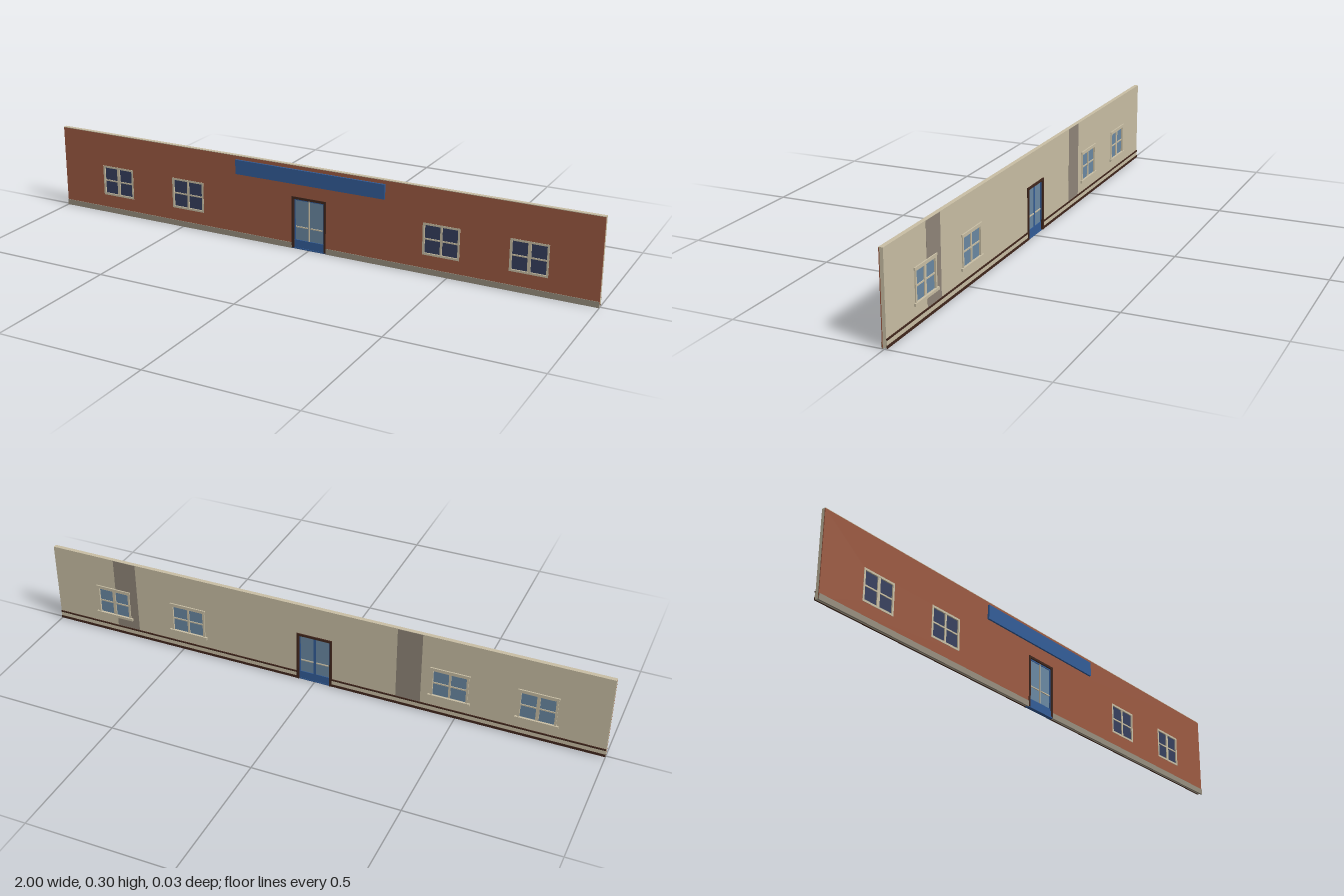
import * as THREE from 'three';

const mat = (name, color) => {
  const m = new THREE.MeshStandardMaterial({ color });
  m.name = name;
  return m;
};

export function createModel() {
  const brick = mat('brick', 0x9c5a42);
  const cream = mat('cream plaster', 0xc8bea4);
  const stone = mat('plinth stone', 0x978e7e);
  const shade = mat('grey band', 0x8f8578);
  const brown = mat('dark brown', 0x40261c);
  const blue = mat('blue paint', 0x325c98);
  const darkGlass = mat('dark glass', 0x363f5e);
  const glass = mat('pale glass', 0x6a88a2);

  const model = new THREE.Group();
  model.name = 'wallSection';

  // Box given by its limits on each axis
  const box = (parent, name, material, x0, x1, y0, y1, z0, z1) => {
    const mesh = new THREE.Mesh(new THREE.BoxGeometry(x1 - x0, y1 - y0, z1 - z0), material);
    mesh.position.set((x0 + x1) / 2, (y0 + y1) / 2, (z0 + z1) / 2);
    mesh.name = name;
    parent.add(mesh);
    return mesh;
  };

  const windowXs = [-0.77, -0.476, 0.476, 0.77];
  const W = 0.064, Y0 = 0.066, Y1 = 0.176; // window half width, bottom, top
  const D = 0.064, doorTop = 0.186;        // door half width, top

  // Wall leaf with a door notch and window holes
  const wallLeaf = (name, material, bottom, top, z0, z1) => {
    const s = new THREE.Shape();
    s.moveTo(-1, bottom).lineTo(-D, bottom).lineTo(-D, doorTop).lineTo(D, doorTop);
    s.lineTo(D, bottom).lineTo(1, bottom).lineTo(1, top).lineTo(-1, top).closePath();
    for (const x of windowXs) {
      const h = new THREE.Path();
      h.moveTo(x - W, Y0).lineTo(x - W, Y1).lineTo(x + W, Y1).lineTo(x + W, Y0).closePath();
      s.holes.push(h);
    }
    const g = new THREE.ExtrudeGeometry(s, { depth: z1 - z0, bevelEnabled: false });
    g.translate(0, 0, z0);
    const mesh = new THREE.Mesh(g, material);
    mesh.name = name;
    model.add(mesh);
  };
  wallLeaf('brickFace', brick, 0.004, 0.295, 0.0045, 0.0075);
  wallLeaf('innerWall', cream, 0.004, 0.295, -0.007, 0.0045);
  box(model, 'wallCap', cream, -1, 1, 0.295, 0.297, -0.007, 0.0075);

  // Plinth in front and skirting behind, either side of the door
  for (const [a, b] of [[-1, -D], [D, 1]]) {
    box(model, 'plinth', stone, a, b, 0, 0.02, 0.004, 0.0095);
    box(model, 'skirtingBase', brown, a, b, 0.003, 0.012, -0.0105, -0.006);
    box(model, 'skirtingBoard', cream, a, b, 0.012, 0.027, -0.009, -0.006);
    box(model, 'skirtingCap', brown, a, b, 0.027, 0.032, -0.0105, -0.006);
  }

  // Grey vertical bands on the back
  for (const x of [0.718, -0.335]) {
    const y0 = 0.032, y1 = 0.296, z0 = -0.0075, z1 = -0.0068;
    const a = x - 0.043, b = x + 0.043;
    if (x < 0) box(model, 'greyBand', shade, a, b, y0, y1, z0, z1);
    else {
      // this one passes behind a window
      box(model, 'greyBandLower', shade, a, b, y0, Y0, z0, z1);
      box(model, 'greyBandUpper', shade, a, b, Y1, y1, z0, z1);
      box(model, 'greyBandSide', shade, a, 0.77 - W, Y0, Y1, z0, z1);
    }
  }

  // Windows with two casements, crossing bars and an inside sill
  windowXs.forEach((x) => {
    const w = new THREE.Group();
    w.name = 'window';
    w.position.x = x;
    model.add(w);
    const f = 0.007, zb = -0.0105, zf = 0.0085, mid = (Y0 + Y1) / 2;
    const m = Math.abs(x) > 0.6 ? 0.0055 : 0.0035;
    box(w, 'frontGlass', darkGlass, -W, W, Y0, Y1, 0, 0.004);
    box(w, 'backGlass', glass, -W, W, Y0, Y1, -0.004, 0);
    for (const s of [-1, 1]) {
      const e = s * (W - f / 2);
      box(w, 'frameSide', cream, e - f / 2, e + f / 2, Y0, Y1, zb, zf);
    }
    box(w, 'frameTop', cream, -W, W, Y1 - f, Y1, zb, zf);
    box(w, 'frameBottom', cream, -W, W, Y0, Y0 + f, zb, zf);
    box(w, 'mullion', cream, -m, m, Y0, Y1, -0.0075, 0.0075);
    box(w, 'crossBar', cream, -W, W, mid - 0.0025, mid + 0.0025, -0.0065, 0.0065);
    box(w, 'headTrim', cream, -W - 0.004, W + 0.004, Y1 - 0.002, Y1 + 0.005, -0.0115, -0.006);
    box(w, 'sill', cream, -W - 0.008, W + 0.008, Y0, Y0 + 0.009, -0.014, -0.006);
  });

  // Double door with a brown frame
  const door = new THREE.Group();
  door.name = 'door';
  model.add(door);
  const F = 0.008, inner = D - F;
  for (const s of [-1, 1]) {
    const e = s * (D - F / 2);
    box(door, 'doorPost', brown, e - F / 2, e + F / 2, 0.003, doorTop, -0.0115, 0.0095);
    const l = Math.min(0, s * inner), r = Math.max(0, s * inner);
    box(door, 'doorGlass', glass, l, r, 0.03, doorTop - F, -0.0025, 0.0025);
    box(door, 'doorPanel', blue, l, r, 0.004, 0.032, -0.005, 0.006);
    const o = s * (inner - 0.002);
    box(door, 'doorStile', blue, o - 0.002, o + 0.002, 0.032, doorTop - F, -0.005, 0.005);
    box(door, 'pushBar', cream, l + 0.006, r - 0.006, 0.077, 0.081, -0.0055, 0.0055);
  }
  box(door, 'doorHead', brown, -D, D, doorTop - F, doorTop, -0.0115, 0.0095);
  box(door, 'doorTopRail', blue, -inner, inner, doorTop - F - 0.005, doorTop - F, -0.0045, 0.0045);
  box(door, 'meetingStileBack', blue, -0.004, 0.004, 0.032, doorTop - F, -0.005, 0);
  box(door, 'meetingStileFront', cream, -0.002, 0.002, 0.032, doorTop - F, 0, 0.005);
  box(door, 'threshold', blue, -D, D, 0, 0.004, -0.006, 0.008);

  // Blank sign board over the door
  box(model, 'signBoard', blue, -0.278, 0.278, 0.232, 0.283, 0.007, 0.014);

  return model;
}
